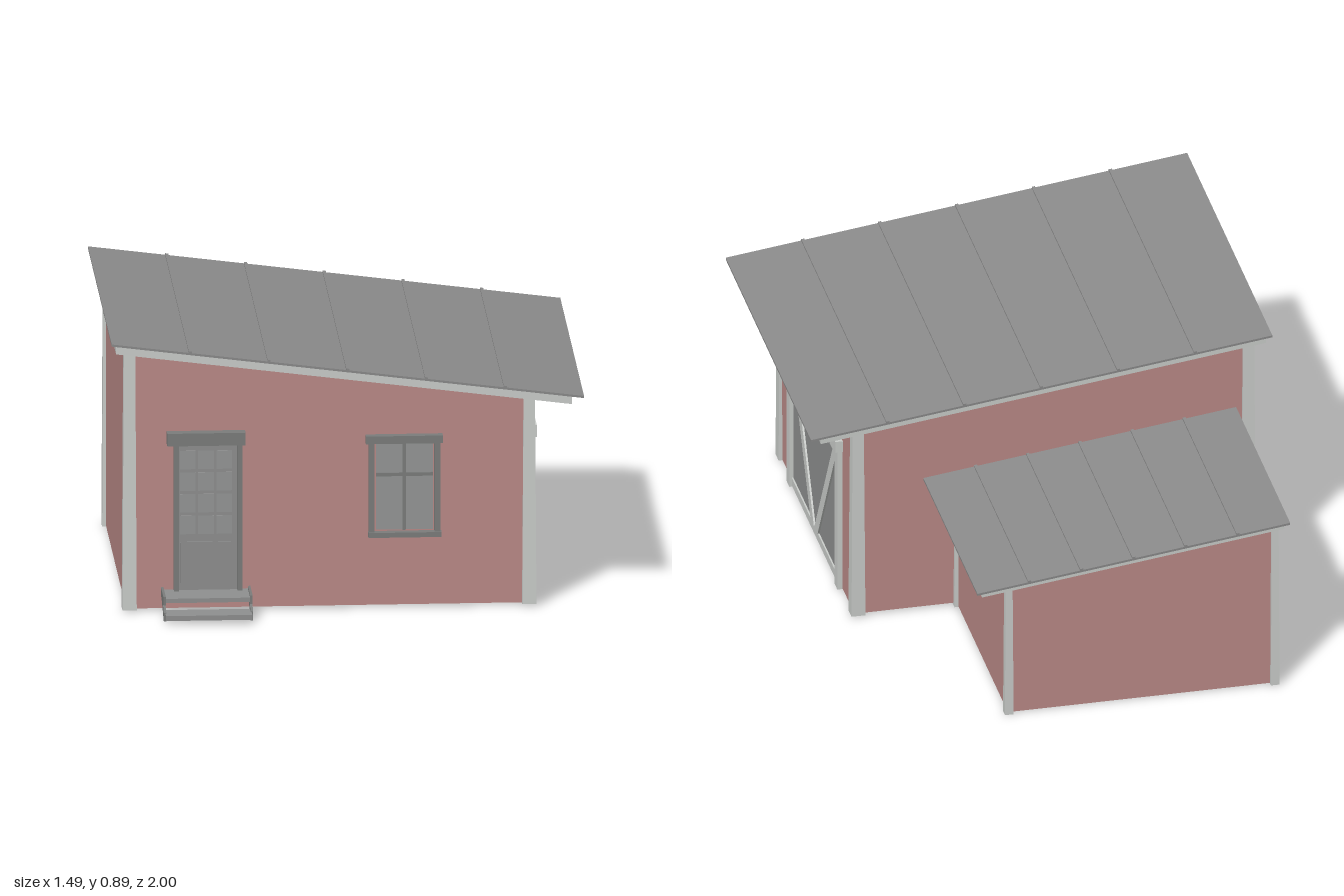
import * as THREE from 'three';

const mat = (name, color) => Object.assign(new THREE.MeshStandardMaterial({ color }), { name });

export function createModel() {
  const wall = mat('red wall', 0xbd8c89);
  const trim = mat('light trim', 0xcdd0cd);
  const metal = mat('grey roof', 0x8c8c8c);
  const panel = mat('grey panel', 0x909191);
  const frame = mat('dark frame', 0x7c7e7d);
  const glass = mat('grey glass', 0x979898);

  const model = new THREE.Group();
  model.name = 'shed';
  const group = (name) => {
    const g = new THREE.Group();
    g.name = name;
    model.add(g);
    return g;
  };

  // Box between two corners; the optional rule moves its vertices
  const box = (parent, name, material, [x0, x1], [y0, y1], [z0, z1], rule) => {
    const geo = new THREE.BoxGeometry(x1 - x0, y1 - y0, z1 - z0);
    geo.translate((x0 + x1) / 2, (y0 + y1) / 2, (z0 + z1) / 2);
    if (rule) {
      const p = geo.attributes.position;
      const v = new THREE.Vector3();
      for (let i = 0; i < p.count; i++) {
        rule(v.fromBufferAttribute(p, i));
        p.setXYZ(i, v.x, v.y, v.z);
      }
      geo.computeVertexNormals();
    }
    const mesh = new THREE.Mesh(geo, material);
    mesh.name = name;
    parent.add(mesh);
    return mesh;
  };

  // One block of the building: walls, corner posts, sloped roof with seams
  const building = (name, o) => {
    const g = group(name);
    const roofY = (x) => o.mid - 0.129 * x;
    const [x0, x1] = o.x, [z0, z1] = o.z;

    box(g, 'walls', wall, o.x, [o.base, 1], o.z, (v) => {
      if (v.y > 0.5) v.y = roofY(v.x) - 0.02;
    });

    // Slightly tapered corner posts
    const r = o.post / 2, inset = r - 0.012;
    for (const cx of [x0 + inset, x1 - inset]) {
      for (const cz of [z0 + inset, z1 - inset]) {
        box(g, 'cornerPost', trim, [cx - r, cx + r], [o.base - 0.003, 1], [cz - r, cz + r], (v) => {
          if (v.y > 0.5) {
            v.x = cx + (v.x - cx) * 0.8;
            v.z = cz + (v.z - cz) * 0.8;
            v.y = roofY(v.x) - 0.02;
          }
        });
      }
    }

    // Offsets above the roof line for the layers of the roof
    const layer = (part, material, xr, lo, hi, zr) =>
      box(g, part, material, xr, [lo, hi], zr, (v) => { v.y += roofY(v.x); });
    layer('roofBoard', trim, o.boardX, -o.boardDepth, -0.007, o.boardZ);
    layer('roofSheet', metal, o.roofX, -0.007, 0, o.roofZ);
    const step = (o.roofX[1] - o.roofX[0]) / 6;
    for (let i = 1; i < 6; i++) {
      const x = o.roofX[0] + step * i;
      layer('roofSeam', metal, [x - 0.005, x + 0.005], -0.001, 0.005, o.roofZ);
    }
  };

  building('mainBuilding', {
    x: [-0.695, 0.587], z: [-0.232, 0.82], base: 0.01, mid: 0.795, post: 0.045,
    roofX: [-0.745, 0.745], roofZ: [-0.31, 0.895],
    boardX: [-0.73, 0.708], boardZ: [-0.287, 0.875], boardDepth: 0.036,
  });
  building('annex', {
    x: [-0.608, 0.255], z: [-0.948, -0.232], base: 0.005, mid: 0.521, post: 0.028,
    roofX: [-0.645, 0.365], roofZ: [-1, -0.235],
    boardX: [-0.63, 0.347], boardZ: [-0.985, -0.235], boardDepth: 0.026,
  });

  // Barn door on the +x wall
  const barn = group('barnDoor');
  const mid = 0.295;
  box(barn, 'doorFrameBeam', trim, [0.58, 0.599], [0.465, 0.507], [-0.03, 0.62]);
  box(barn, 'doorHeader', trim, [0.58, 0.611], [0.504, 0.543], [-0.068, 0.658]);
  box(barn, 'bottomRail', trim, [0.58, 0.596], [0.012, 0.04], [-0.03, 0.62]);
  for (const s of [-1, 1]) {
    const span = (a, b) => [mid + s * a, mid + s * b].sort((p, q) => p - q);
    box(barn, 'doorLeaf', panel, [0.58, 0.591], [0.012, 0.468], span(0.002, 0.322));
    box(barn, 'doorPost', trim, [0.58, 0.604], [0.008, 0.504], span(0.318, 0.36));
    // Diagonal brace leaning outward with height
    box(barn, 'brace', trim, [0.58, 0.597], [0.04, 0.465], span(0.004, 0.05), (v) => {
      v.z += s * ((v.y - 0.04) / 0.425) * 0.258;
    });
  }
  box(barn, 'doorGap', frame, [0.58, 0.589], [0.012, 0.468], [mid - 0.003, mid + 0.003]);

  // Front door with twelve panes
  const door = group('frontDoor');
  box(door, 'doorSlab', panel, [-0.535, -0.34], [0.07, 0.545], [0.81, 0.829]);
  for (const x of [-0.545, -0.345]) {
    box(door, 'doorJamb', frame, [x, x + 0.016], [0.068, 0.546], [0.81, 0.844]);
  }
  box(door, 'doorLintel', frame, [-0.567, -0.32], [0.545, 0.586], [0.81, 0.855]);
  box(door, 'lowerPanel', panel, [-0.525, -0.365], [0.095, 0.227], [0.82, 0.834]);
  for (let i = 0; i < 3; i++) {
    for (let j = 0; j < 4; j++) {
      const x = -0.526 + i * 0.0575, y = 0.252 + j * 0.0705;
      box(door, 'doorPane', glass, [x, x + 0.05], [y, y + 0.06], [0.825, 0.831]);
    }
  }

  // Front window
  const win = group('frontWindow');
  box(win, 'windowGlass', glass, [0.093, 0.273], [0.255, 0.535], [0.815, 0.824]);
  box(win, 'mullion', frame, [0.177, 0.188], [0.255, 0.54], [0.815, 0.83]);
  box(win, 'crossBar', frame, [0.093, 0.273], [0.43, 0.441], [0.815, 0.83]);
  for (const x of [0.07, 0.277]) {
    box(win, 'windowJamb', frame, [x, x + 0.018], [0.24, 0.542], [0.81, 0.84]);
  }
  box(win, 'windowLintel', frame, [0.06, 0.303], [0.54, 0.565], [0.81, 0.848]);
  box(win, 'windowSill', frame, [0.068, 0.299], [0.234, 0.25], [0.81, 0.846]);

  // Entrance steps on sloping side boards
  const steps = group('entranceSteps');
  box(steps, 'upperTread', panel, [-0.578, -0.31], [0.056, 0.07], [0.82, 0.935]);
  box(steps, 'lowerTread', panel, [-0.58, -0.308], [0.015, 0.031], [0.925, 1]);
  for (const x of [-0.585, -0.311]) {
    box(steps, 'stepSide', frame, [x, x + 0.008], [0.05, 0.078], [0.82, 0.94]);
    box(steps, 'stepSlope', frame, [x, x + 0.008], [0.03, 0.058], [0.86, 0.965], (v) => {
      v.y += (0.9 - v.z) * 0.4;
    });
  }
  return model;
}
